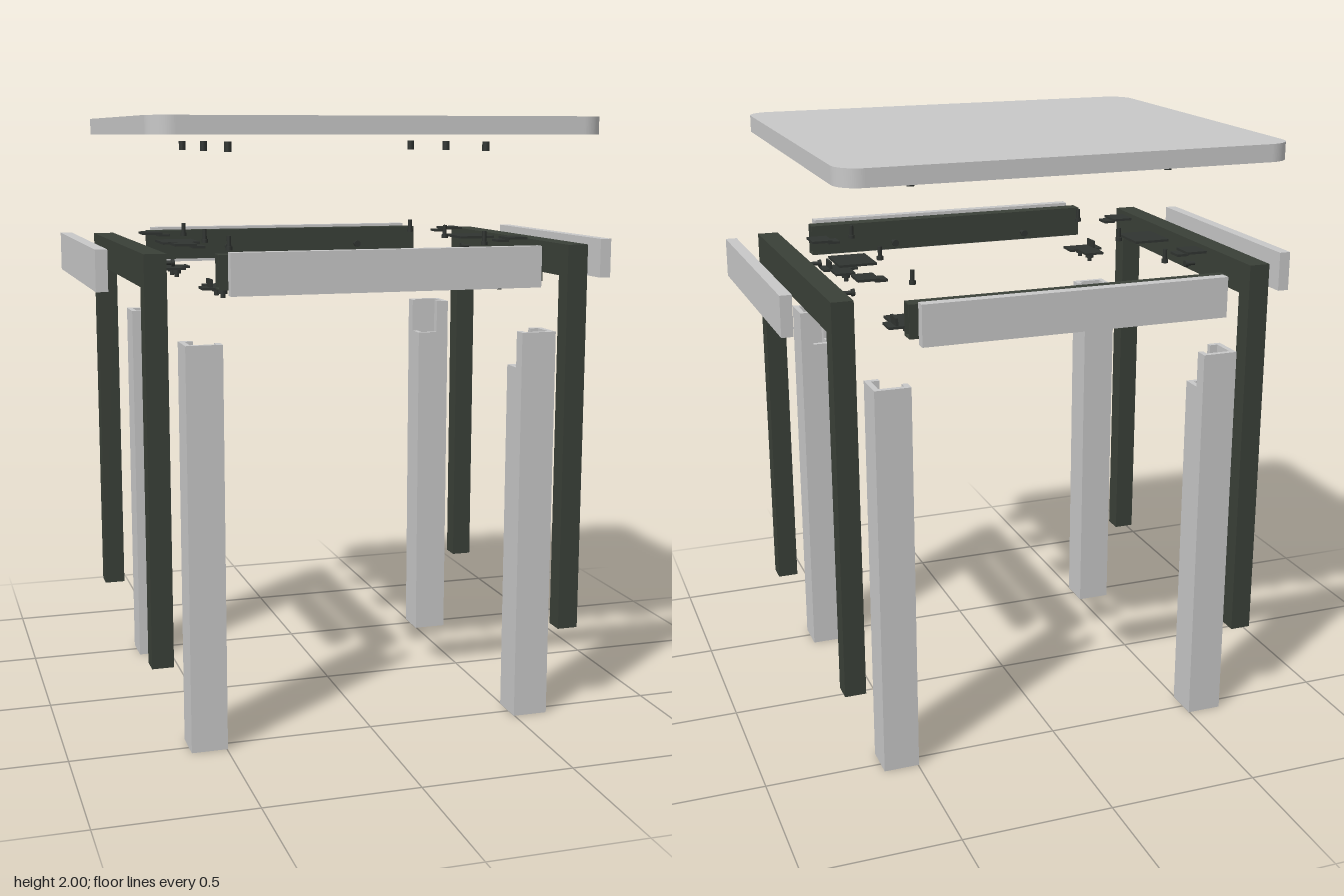
import * as THREE from 'three';

export function createModel() {
  const model = new THREE.Group();
  const panelGrey = new THREE.MeshStandardMaterial({ color: 0xc8c8c8 });
  panelGrey.name = 'panelGrey';
  const frameDark = new THREE.MeshStandardMaterial({ color: 0x3a4038 });
  frameDark.name = 'frameDark';
  const fittingDark = new THREE.MeshStandardMaterial({ color: 0x303431 });
  fittingDark.name = 'fittingDark';

  const add = (name, geometry, material, parent = model) => {
    const mesh = new THREE.Mesh(geometry, material);
    mesh.name = name;
    parent.add(mesh);
    return mesh;
  };
  // Box given by its lower and upper corners
  const box = (name, material, [x0, y0, z0], [x1, y1, z1], parent) => {
    const mesh = add(name, new THREE.BoxGeometry(Math.abs(x1 - x0), y1 - y0, Math.abs(z1 - z0)), material, parent);
    mesh.position.set((x0 + x1) / 2, (y0 + y1) / 2, (z0 + z1) / 2);
  };
  // Short round pin along y, x or z
  const pin = (name, radius, length, [x, y, z], axis = 'y', parent = model) => {
    const mesh = add(name, new THREE.CylinderGeometry(radius, radius, length, 16), fittingDark, parent);
    mesh.position.set(x, y, z);
    if (axis === 'x') mesh.rotation.z = Math.PI / 2;
    if (axis === 'z') mesh.rotation.x = Math.PI / 2;
  };

  // Table top with rounded corners
  const w = 0.73, d = 0.645, r = 0.08;
  const outline = new THREE.Shape();
  outline.moveTo(-w + r, -d);
  outline.absarc(w - r, -d + r, r, -Math.PI / 2, 0);
  outline.absarc(w - r, d - r, r, 0, Math.PI / 2);
  outline.absarc(-w + r, d - r, r, Math.PI / 2, Math.PI);
  outline.absarc(-w + r, -d + r, r, Math.PI, Math.PI * 1.5);
  const top = add('tableTop', new THREE.ExtrudeGeometry(outline, { depth: 0.056, bevelEnabled: false, curveSegments: 12 }), panelGrey);
  top.rotation.x = -Math.PI / 2;
  top.position.y = 1.944;

  // Hollow rail profile
  const rail = new THREE.Shape([[-0.026, -0.053], [0.026, -0.053], [0.026, 0.053], [-0.026, 0.053]].map(p => new THREE.Vector2(...p)));
  rail.holes.push(new THREE.Path([[-0.022, -0.049], [-0.022, 0.049], [0.022, 0.049], [0.022, -0.049]].map(p => new THREE.Vector2(...p))));
  const railGeometry = new THREE.ExtrudeGeometry(rail, { depth: 1.05, bevelEnabled: false });

  for (const s of [-1, 1]) {
    // Cover panels
    box('endPanel', panelGrey, [-0.5, 1.47, s * 0.642], [0.5, 1.6, s * 0.677]);
    box('sidePanel', panelGrey, [s * 0.827, 1.47, -0.43], [s * 0.865, 1.6, 0.43]);

    // Rectangular tube rail
    const tube = add('crossRail', railGeometry, frameDark);
    tube.rotation.y = Math.PI / 2;
    tube.position.set(-0.525, 1.538, s * 0.605);

    // Side frame: two posts and a bar
    const frame = new THREE.Group();
    frame.name = 'sideFrame';
    model.add(frame);
    box('sideBar', frameDark, [s * 0.663, 1.485, -0.458], [s * 0.733, 1.59, 0.458], frame);
    for (const t of [-1, 1])
      box('framePost', frameDark, [s * 0.663, 0.285, t * 0.458], [s * 0.733, 1.59, t * 0.525], frame);

    // Middle plate and pins along each side
    box('middlePlate', fittingDark, [s * 0.465, 1.585, -0.075], [s * 0.59, 1.593, 0.075]);
    for (const z of [-0.365, 0, 0.365]) {
      pin('topInsert', 0.012, 0.032, [s * 0.433, 1.906, z]);
      pin('topScrew', 0.007, 0.045, [s * 0.433, 1.607, z]);
      pin('topScrewHead', 0.011, 0.012, [s * 0.433, 1.59, z]);
    }
  }

  // Corner parts, repeated for the four corners
  for (const sx of [-1, 1]) for (const sz of [-1, 1]) {
    const leg = new THREE.Group();
    leg.name = 'legSleeve';
    model.add(leg);
    const wall = (x0, z0, x1, z1, y0, y1) =>
      box('legWall', panelGrey, [sx * x0, y0, sz * z0], [sx * x1, y1, sz * z1], leg);
    const t = 0.018, a = 0.497, b = 0.615, c = 0.43, e = 0.548, H = 1.31, N = 1.19;
    // Full outer walls, inner walls notched at the top
    wall(b - t, c, b, e, 0, H);
    wall(a, e - t, b - t, e, 0, H);
    wall(a, c, a + t, e - t, 0, N);
    wall(a + t, c, b - t, c + t, 0, N);
    wall(a, e - 0.045, a + t, e - t, N, H);
    wall(b - 0.045, c, b - t, c + t, N, H);

    // Corner bracket with bolts below
    const corner = new THREE.Group();
    corner.name = 'cornerBracket';
    model.add(corner);
    box('cornerPlate', fittingDark, [sx * 0.41, 1.467, sz * 0.375], [sx * 0.535, 1.475, sz * 0.445], corner);
    box('cornerPlateArm', fittingDark, [sx * 0.44, 1.467, sz * 0.3], [sx * 0.51, 1.475, sz * 0.375], corner);
    box('cornerUpright', fittingDark, [sx * 0.503, 1.475, sz * 0.38], [sx * 0.511, 1.5, sz * 0.44], corner);
    for (const z of [0.33, 0.42]) {
      pin('boltHead', 0.015, 0.014, [sx * 0.467, 1.46, sz * z], 'y', corner);
      pin('boltTip', 0.008, 0.014, [sx * 0.467, 1.447, sz * z], 'y', corner);
    }

    // Flat plate above the side bar
    box('upperPlate', fittingDark, [sx * 0.53, 1.597, sz * 0.255], [sx * 0.6, 1.605, sz * 0.34]);
    box('upperPlateTab', fittingDark, [sx * 0.5, 1.589, sz * 0.27], [sx * 0.54, 1.597, sz * 0.325]);

    // Horizontal screws facing the rails and side bars
    pin('sideScrew', 0.007, 0.03, [sx * 0.603, 1.537, sz * 0.22], 'x');
    pin('sideScrewHead', 0.012, 0.01, [sx * 0.614 - sx * 0.028, 1.537, sz * 0.22], 'x');
    pin('railScrew', 0.007, 0.03, [sx * 0.25, 1.537, sz * 0.46], 'z');
    pin('railScrewHead', 0.012, 0.01, [sx * 0.25, 1.537, sz * 0.443], 'z');
  }
  return model;
}
